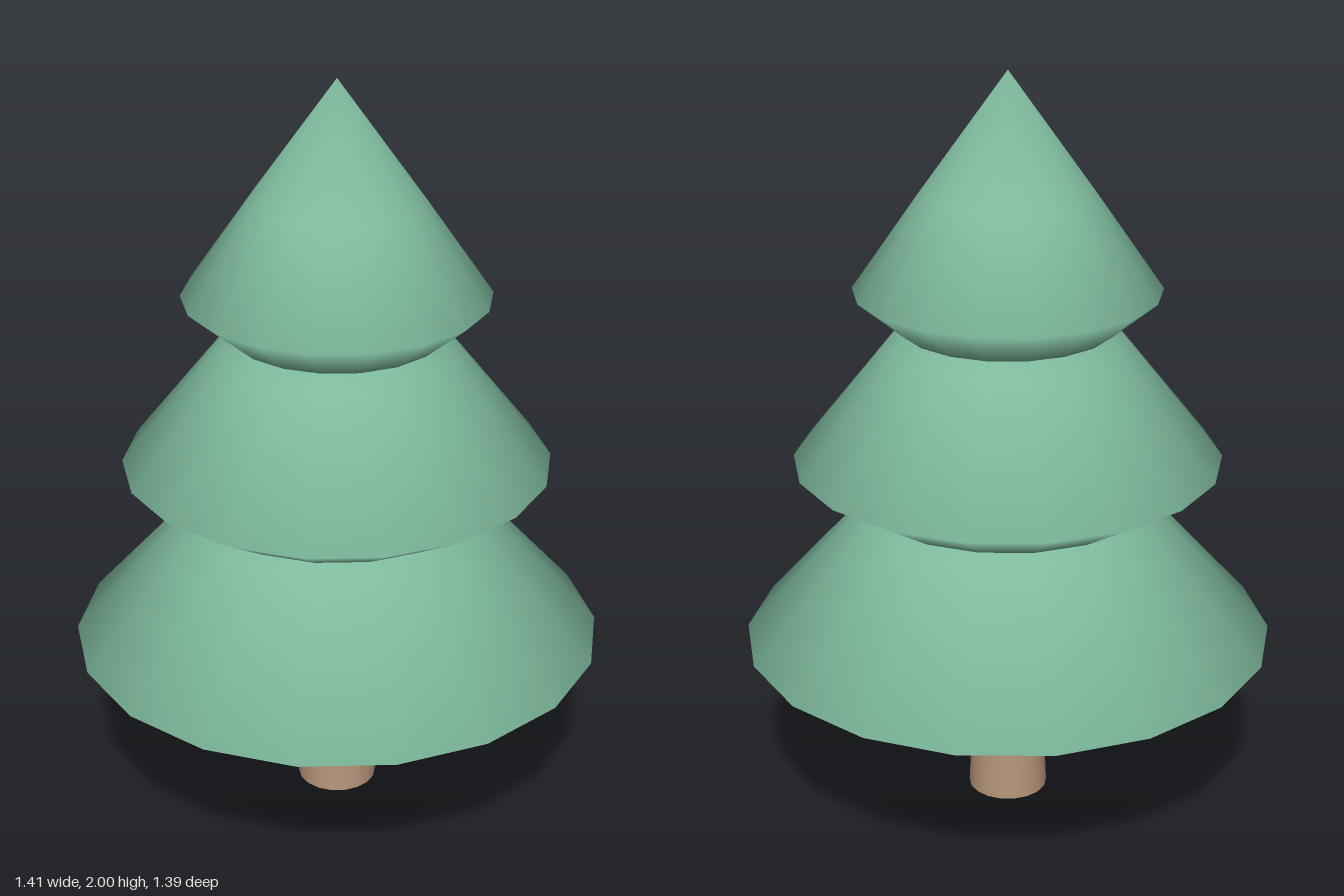
import * as THREE from 'three';
import { mergeVertices } from 'three/addons/utils/BufferGeometryUtils.js';

const SIDES = 18;

// Hollow bough skirt, from the open lower rim up to its tip, smooth all over
function skirtGeometry(profile) {
  const points = profile.map(([r, y]) => new THREE.Vector2(r, y));
  const lathe = new THREE.LatheGeometry(points, SIDES, Math.PI / 2);
  lathe.deleteAttribute('uv');
  lathe.deleteAttribute('normal');
  const geometry = mergeVertices(lathe, 1e-4);
  geometry.computeVertexNormals();
  return geometry;
}

export function createModel() {
  const tree = new THREE.Group();
  tree.name = 'pineTree';

  const needles = new THREE.MeshStandardMaterial({ color: 0x7fbb9e, side: THREE.DoubleSide });
  needles.name = 'needle green';
  const bark = new THREE.MeshStandardMaterial({ color: 0xb6957a });
  bark.name = 'bark brown';

  // Tapered trunk ending inside the lowest skirt
  const trunk = new THREE.Mesh(new THREE.CylinderGeometry(0.084, 0.107, 0.5, SIDES), bark);
  trunk.name = 'trunk';
  trunk.rotation.y = Math.PI / 2;
  trunk.position.y = 0.25;
  tree.add(trunk);

  // Bough skirts: lower rim, widest ring, upper ring, tip
  const skirts = {
    lowerBoughs: [[0.5, 0.38], [0.705, 0.48], [0.39, 0.83], [0, 1.25]],
    middleBoughs: [[0.4, 0.88], [0.563, 0.98], [0.312, 1.295], [0, 1.68]],
    topBoughs: [[0.28, 1.34], [0.398, 1.44], [0.22, 1.695], [0, 2]],
  };
  for (const [name, profile] of Object.entries(skirts)) {
    const skirt = new THREE.Mesh(skirtGeometry(profile), needles);
    skirt.name = name;
    tree.add(skirt);
  }
  return tree;
}
